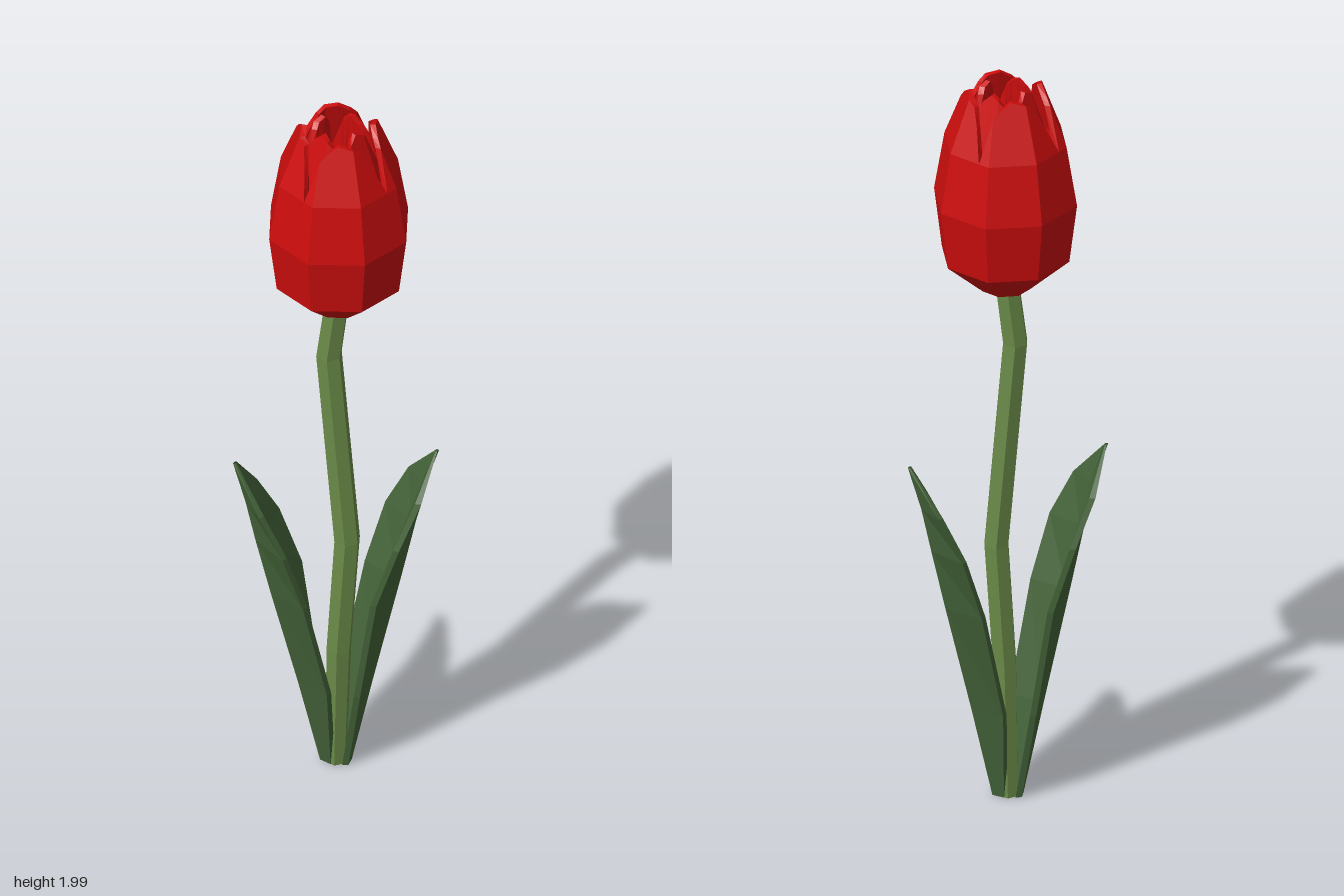
import * as THREE from 'three';

const RED = 0xcc0d0d, STEM = 0x6a8a48, LEAF = 0x446339;

// Joins equally long rings of [x, y, z] points into a faceted skin.
function loft(name, rings, color) {
  const n = rings[0].length, index = [];
  for (let i = 0; i < rings.length - 1; i++) {
    for (let j = 0; j < n; j++) {
      const k = (j + 1) % n, a = i * n + j, b = i * n + k;
      index.push(a, a + n, b, b, a + n, b + n);
    }
  }
  const geo = new THREE.BufferGeometry();
  geo.setAttribute('position', new THREE.Float32BufferAttribute(rings.flat(2), 3));
  geo.setIndex(index);
  geo.computeVertexNormals();
  const mesh = new THREE.Mesh(geo, new THREE.MeshStandardMaterial({
    color, flatShading: true, side: THREE.DoubleSide }));
  mesh.name = name;
  return mesh;
}

// Hollow six-sided stem following a gently bent line: x, y, z, radius.
function createStem() {
  const path = [[0, 0, 0, 0.028], [0.003, 0.36, 0.012, 0.033], [0.022, 0.7, 0.02, 0.034],
    [-0.015, 1.27, -0.01, 0.034], [0.004, 1.45, 0, 0.033]];
  return loft('stem', path.map(([x, y, z, r]) => Array.from({ length: 6 }, (_, i) => {
    const a = i * Math.PI / 3;
    return [x + r * Math.cos(a), y, z - r * Math.sin(a)];
  })), STEM);
}

// Folded leaf: each row holds y, then x and z of front edge, rib and back edge.
function createLeaf(name) {
  const rows = [
    [0, 0.02, 0.035, 0.038, 0.012, 0.02, -0.015],
    [0.25, 0.03, 0.09, 0.093, 0.02, 0.045, -0.055],
    [0.55, 0.06, 0.125, 0.165, 0.025, 0.115, -0.072],
    [0.72, 0.115, 0.14, 0.203, 0.03, 0.17, -0.073],
    [0.84, 0.18, 0.125, 0.226, 0.04, 0.218, -0.038],
    [0.95, 0.243, 0.07, 0.25, 0.065, 0.246, 0.06]];
  const rings = rows.map(([y, fx, fz, rx, rz, bx, bz], i) => {
    const t = i === rows.length - 1 ? 0.004 : 0.014;
    return [[fx, y, fz], [rx, y, rz], [bx, y, bz],
      [bx - t, y, bz + t / 2], [rx - t, y, rz], [fx - t, y, fz - t / 2]];
  });
  return loft(name, rings, LEAF);
}

// Notched eight-sided cup: outer rows, a rim of four petals, inner rows.
function createPetals(name, outer, rim, inner, turn) {
  const steps = [[0, 1.98], [20, 1.99], [38, 1.97], [45, 1.95], [56, 1.84], [67, 1.92], [78, 1.965]];
  const angles = [];
  for (let q = 0; q < 4; q++) for (const [d, y] of steps) angles.push([d + q * 90, y]);
  const point = (deg, r, y) => {
    const facet = THREE.MathUtils.degToRad(deg % 45 - 22.5);
    const flat = r * Math.cos(Math.PI / 8) / Math.cos(facet);
    const a = THREE.MathUtils.degToRad(deg + turn);
    return [0.007 + flat * Math.cos(a), y, flat * Math.sin(a)];
  };
  const level = ([y, r]) => angles.map(([d]) => point(d, r, y));
  const edge = inset => angles.map(([d, y]) =>
    point(d, THREE.MathUtils.mapLinear(y, 1.84, 1.99, rim[0], rim[1]) - inset, y));
  return loft(name, [...outer.map(level), edge(0), edge(0.015), ...inner.map(level)], RED);
}

export function createModel() {
  const group = new THREE.Group();
  group.name = 'flower';
  group.add(createStem());

  // Two opposite leaves
  const leftLeaf = createLeaf('leftLeaf');
  const rightLeaf = createLeaf('rightLeaf');
  rightLeaf.rotation.y = Math.PI;
  group.add(leftLeaf, rightLeaf);

  // Bloom of two nested petal cups
  const bloom = new THREE.Group();
  bloom.name = 'bloom';
  bloom.add(
    createPetals('outerPetals',
      [[1.425, 0.03], [1.43, 0.065], [1.52, 0.165], [1.68, 0.185], [1.84, 0.158]],
      [0.158, 0.1], [[1.83, 0.135], [1.6, 0.13], [1.46, 0.03]], 0),
    createPetals('innerPetals',
      [[1.46, 0.03], [1.6, 0.105], [1.83, 0.115]],
      [0.115, 0.065], [[1.82, 0.06], [1.6, 0.05], [1.45, 0.025]], 45));
  group.add(bloom);
  return group;
}
